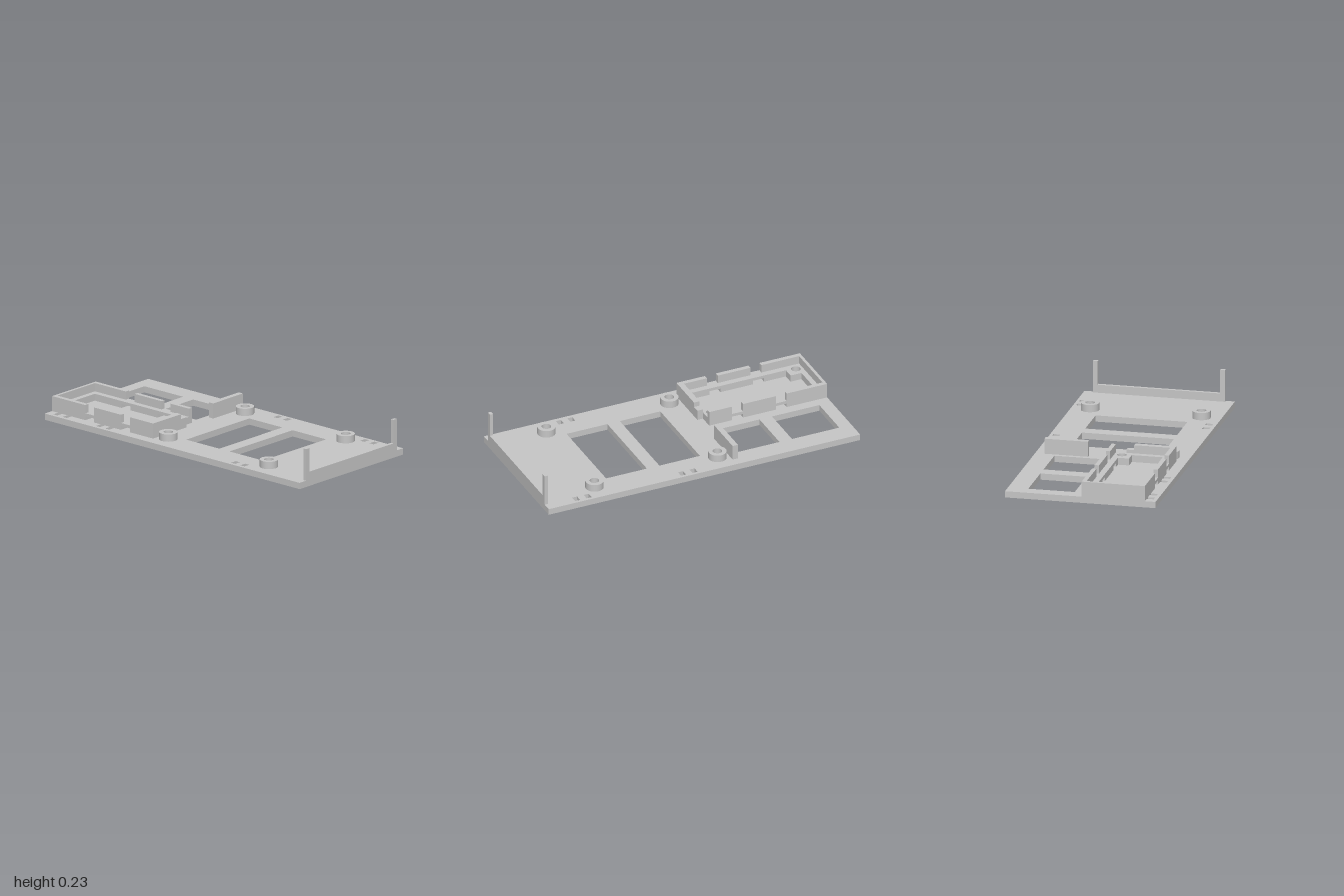
import * as THREE from 'three';

const grey = new THREE.MeshStandardMaterial({ color: 0xc6c6c6 });
grey.name = 'grey plastic';

// Plan-view helpers: points are [x, z], listed clockwise as seen from above
const outline = (pts, Type = THREE.Shape) =>
  new Type(pts.map(([x, z]) => new THREE.Vector2(x, -z)).reverse());
const rect = (x0, x1, z0, z1) => [[x0, z0], [x1, z0], [x1, z1], [x0, z1]];
const circle = (x, z, r) => new THREE.Path().absarc(x, -z, r, 0, Math.PI * 2, true);

export function createModel() {
  const model = new THREE.Group();

  const slab = (name, pts, y0, y1, holes = []) => {
    const shape = outline(pts);
    shape.holes.push(...holes);
    const geo = new THREE.ExtrudeGeometry(shape, { depth: y1 - y0, bevelEnabled: false, curveSegments: 16 });
    geo.rotateX(-Math.PI / 2).translate(0, y0, 0);
    const mesh = new THREE.Mesh(geo, grey);
    mesh.name = name;
    model.add(mesh);
  };
  const box = (name, x0, x1, y0, y1, z0, z1) => {
    const mesh = new THREE.Mesh(new THREE.BoxGeometry(x1 - x0, y1 - y0, z1 - z0), grey);
    mesh.position.set((x0 + x1) / 2, (y0 + y1) / 2, (z0 + z1) / 2);
    mesh.name = name;
    model.add(mesh);
  };

  const T = 0.038; // plate thickness
  const windows = [
    rect(-0.922, -0.618, -0.33, -0.052), rect(-0.538, -0.265, -0.33, -0.052),
    rect(-0.051, 0.209, -0.277, 0.273), rect(0.289, 0.551, -0.277, 0.273),
  ];
  const standoffs = [[-0.137, -0.335], [-0.137, 0.333], [0.653, -0.335], [0.653, 0.333]];
  const trayHoles = [[-0.287, 0.08], [-0.939, 0.312]];
  const ties = [[0.089, -0.412], [0.769, -0.412], [-0.9, 0.408], [-0.566, 0.408], [0.495, 0.408]];

  // Base plate in two layers: tie slots join into a channel underneath
  const plateHoles = () => [
    ...windows.map((w) => outline(w, THREE.Path)),
    ...standoffs.map(([x, z]) => circle(x, z, 0.019)),
    ...trayHoles.map(([x, z]) => circle(x, z, 0.028)),
  ];
  const plate = rect(-1, 1, -0.451, 0.451);
  slab('basePlateLower', plate, 0, T / 2, [
    ...plateHoles(),
    ...ties.map(([x, z]) => outline(rect(x - 0.053, x + 0.053, z - 0.021, z + 0.021), THREE.Path)),
  ]);
  slab('basePlateUpper', plate, T / 2, T, [
    ...plateHoles(),
    ...ties.flatMap(([x, z]) => [-0.037, 0.037].map((d) =>
      outline(rect(x + d - 0.016, x + d + 0.016, z - 0.021, z + 0.021), THREE.Path))),
  ]);

  // Hollow standoffs
  for (const [x, z] of standoffs) {
    const ring = [[0.028, T], [0.054, T], [0.054, 0.082], [0.028, 0.082], [0.028, T]];
    // separate profile segments keep the rims sharp
    const group = new THREE.Group();
    group.name = 'standoff';
    for (let i = 0; i < 4; i++) {
      const seg = ring.slice(i, i + 2).map(([r, y]) => new THREE.Vector2(r, y));
      group.add(new THREE.Mesh(new THREE.LatheGeometry(seg, 32), grey));
    }
    group.position.set(x, 0, z);
    model.add(group);
  }

  // Tray ledge: lower pieces leave two tie channels, upper frame bridges them
  const [a, b, c, d] = [-0.74, -0.67, -0.46, -0.39];
  const under = 0.062, ledge = 0.08;
  const back = 0.008, front = 0.387; // tray extent in z
  slab('trayLedgeLeft', [[-1, back], [a, back], [a, 0.07], [-0.95, 0.07], [-0.95, 0.257], [-0.88, 0.257],
    [-0.88, 0.322], [a, 0.322], [a, front], [-1, front]], T, under, [circle(...trayHoles[1], 0.028)]);
  slab('trayLedgeRight', [[d, back], [-0.243, back], [-0.243, front], [d, front], [d, 0.322], [-0.278, 0.322],
    [-0.278, 0.137], [-0.348, 0.137], [-0.348, 0.07], [d, 0.07]], T, under, [circle(...trayHoles[0], 0.028)]);
  box('trayLedgeBack', b, c, T, under, back, 0.07);
  box('trayLedgeFront', b, c, T, under, 0.322, front);
  const pocket = [[-0.95, 0.07], [-0.348, 0.07], [-0.348, 0.137], [-0.278, 0.137], [-0.278, 0.322],
    [-0.88, 0.322], [-0.88, 0.257], [-0.95, 0.257]];
  slab('trayLedgeFrame', rect(-1, -0.243, back, front), under, ledge,
    [outline(pocket, THREE.Path), ...trayHoles.map(([x, z]) => circle(x, z, 0.028))]);

  // Tray walls with gaps over the channels
  const wallTop = 0.13;
  for (const [x0, x1] of [[-1, a], [b, c], [d, -0.243]]) {
    box('trayBackWall', x0, x1, ledge, wallTop, back, 0.034);
    box('trayFrontWall', x0, x1, ledge, wallTop, 0.359, front);
  }
  box('trayLeftWall', -1, -0.982, ledge, wallTop, 0.034, 0.359);
  box('trayRightWall', -0.243, -0.207, T, wallTop, 0.143, front);
  box('trayRightStep', -0.243, -0.207, T, 0.1, 0.096, 0.143);

  // Stop rib behind the tray
  box('stopRib', -0.241, -0.207, T, wallTop, -0.395, -0.135);

  // End lip with a post at each end
  box('endLip', 0.98, 1, T, 0.087, -0.367, 0.367);
  for (const s of [-1, 1]) box('endPost', 0.98, 1, T, 0.231, s * 0.381 - 0.014, s * 0.381 + 0.014);

  return model;
}
